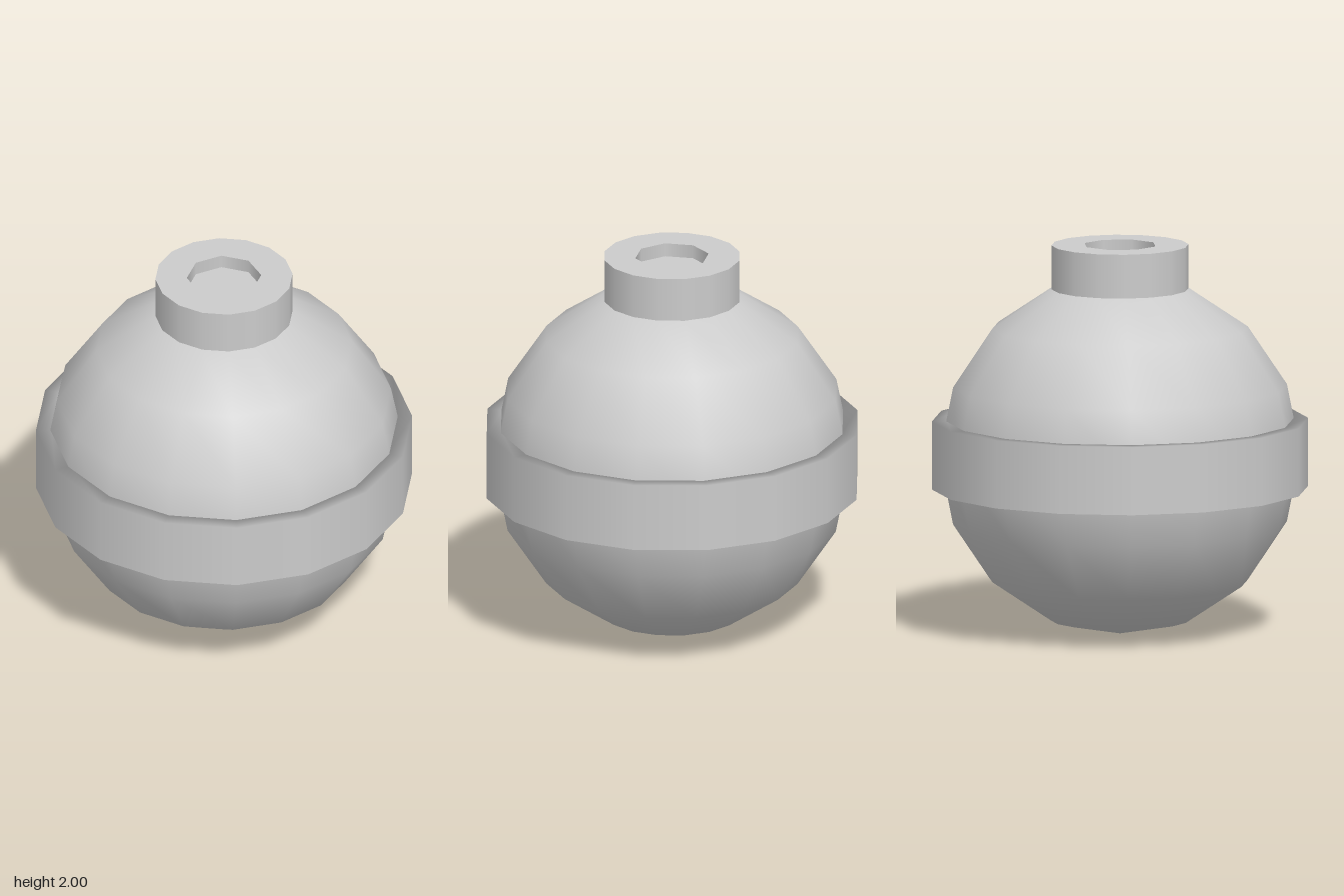
import * as THREE from 'three';

const SIDES = 16, RECESS_SIDES = 8;
const TOP = 2, NECK_R = 0.35, RECESS_R = 0.19, RECESS_DEPTH = 0.07;

// Regular polygon with corners on the axes
function polygon(radius, sides) {
  return Array.from({ length: sides }, (_, i) => {
    const a = (i / sides) * Math.PI * 2;
    return new THREE.Vector2(Math.cos(a) * radius, Math.sin(a) * radius);
  });
}

function lathe(points, sides) {
  return new THREE.LatheGeometry(points.map(([r, y]) => new THREE.Vector2(r, y)), sides);
}

export function createModel() {
  const model = new THREE.Group();
  const material = new THREE.MeshStandardMaterial({ color: 0xcccccc });

  function add(name, geometry, parent = model) {
    const mesh = new THREE.Mesh(geometry, material);
    mesh.name = name;
    parent.add(mesh);
    return mesh;
  }

  // Round body
  add('body', new THREE.SphereGeometry(0.922, SIDES, 8)).position.y = 0.922;

  // Raised band around the middle, its rim shaded as if rolled over
  const band = lathe([[0.88, 0.75], [0.96, 0.75], [0.96, 1.1], [0.88, 1.1], [0.88, 0.75]], SIDES);
  const pos = band.attributes.position;
  for (let i = 0; i < pos.count; i++) {
    const x = pos.getX(i), z = pos.getZ(i), r = Math.hypot(x, z);
    const s = (r > 0.92 ? 1 : -1) / r;
    const up = pos.getY(i) > 0.92 ? 0.15 : -0.15;
    band.attributes.normal.setXYZ(i, x * s, r > 0.92 ? 0 : up, z * s);
  }
  band.normalizeNormals();
  add('band', band);

  // Neck with an eight-sided recess in its flat top
  const neck = new THREE.Group();
  neck.name = 'neck';
  model.add(neck);
  add('neckWall', lathe([[NECK_R, 1.74], [NECK_R, TOP]], SIDES), neck);

  const ring = new THREE.Shape(polygon(NECK_R, SIDES));
  ring.holes.push(new THREE.Path(polygon(RECESS_R, RECESS_SIDES)));
  add('neckTop', new THREE.ShapeGeometry(ring).rotateX(-Math.PI / 2), neck).position.y = TOP;

  const floorY = TOP - RECESS_DEPTH;
  add('recessWall', lathe([[RECESS_R, TOP], [RECESS_R, floorY]], RECESS_SIDES), neck);
  const floor = new THREE.CircleGeometry(RECESS_R, RECESS_SIDES).rotateX(-Math.PI / 2);
  add('recessFloor', floor, neck).position.y = floorY;

  return model;
}
